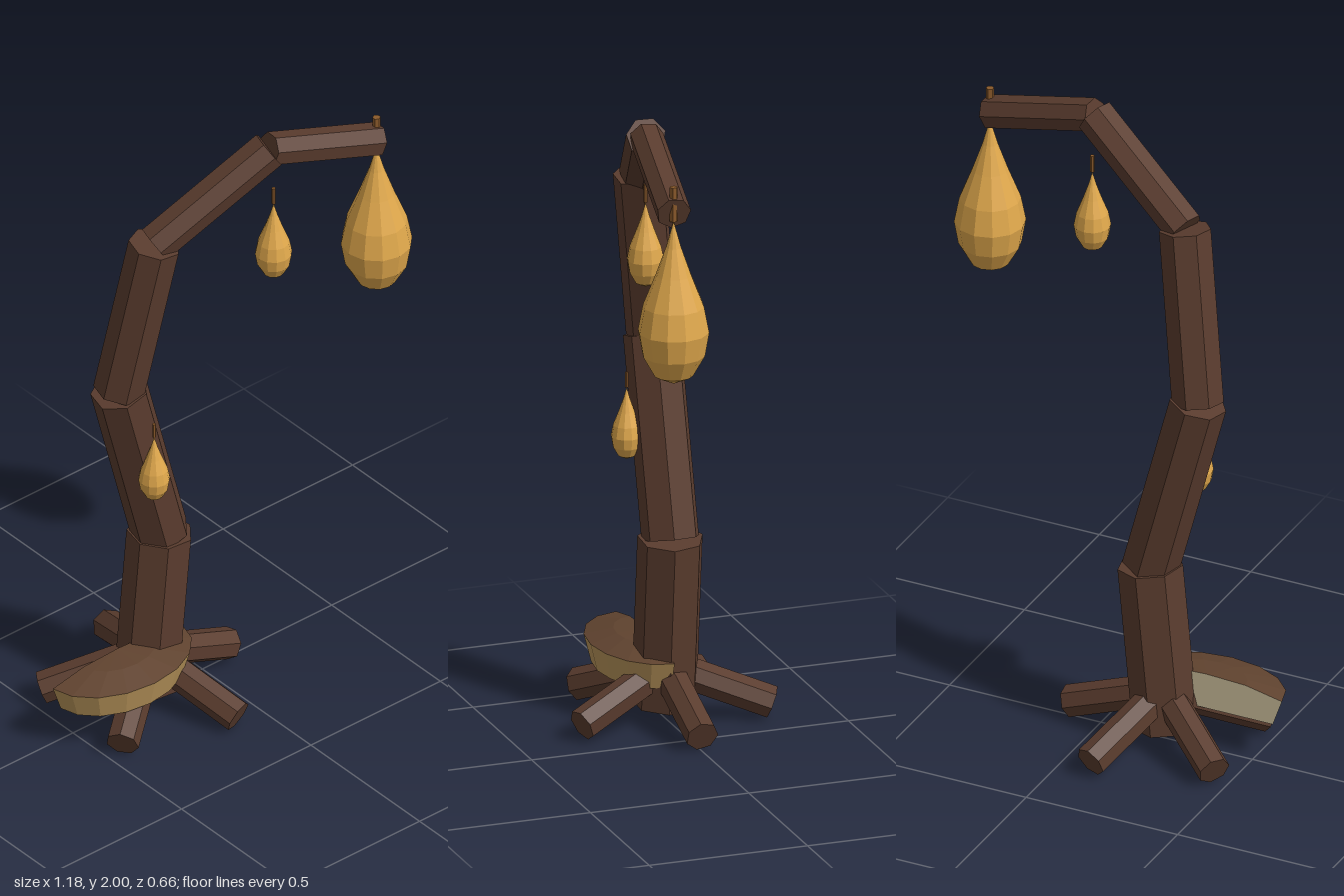
import * as THREE from 'three';

const mat = (name, color, side = THREE.FrontSide) => {
  const m = new THREE.MeshStandardMaterial({ color, flatShading: true, side });
  m.name = name;
  return m;
};

export function createModel() {
  const bark = mat('bark', 0x5a3c2e);
  const sap = mat('amber sap', 0xe0a84c);
  const twig = mat('twig', 0x8b5a2b);
  const cap = mat('fungus cap', 0x60432f, THREE.DoubleSide);
  const rim = mat('fungus rim', 0xb8945a, THREE.DoubleSide);
  const gills = mat('fungus gills', 0xd2c4a0, THREE.DoubleSide);

  const model = new THREE.Group();
  model.name = 'hangingDropTree';
  const add = (parent, name, geometry, material) => {
    const mesh = new THREE.Mesh(geometry, material);
    mesh.name = name;
    parent.add(mesh);
    return mesh;
  };

  // Seven-sided log between two points
  const log = (parent, name, a, b, radius) => {
    const dir = b.clone().sub(a);
    const geo = new THREE.CylinderGeometry(radius, radius, dir.length(), 7, 1, false, Math.PI);
    const mesh = add(parent, name, geo, bark);
    mesh.position.copy(a).add(b).multiplyScalar(0.5);
    mesh.quaternion.setFromUnitVectors(new THREE.Vector3(0, 1, 0), dir.normalize());
  };

  // Crooked trunk bending over into a branch
  const joints = [
    [-0.213, 0.055, 0], [-0.163, 0.585, 0], [-0.32, 1.177, 0],
    [-0.243, 1.712, 0.07], [0.107, 1.955, 0.178], [0.482, 1.845, 0.23],
  ].map((p) => new THREE.Vector3(...p));
  const radii = [0.1, 0.088, 0.079, 0.06, 0.052];
  const trunk = new THREE.Group();
  trunk.name = 'trunk';
  radii.forEach((r, i) => log(trunk, i < 3 ? 'trunkSegment' : 'branchSegment', joints[i], joints[i + 1], r));
  model.add(trunk);

  // Five splayed roots
  const roots = new THREE.Group();
  roots.name = 'roots';
  for (let i = 0; i < 5; i++) {
    const a = (i * Math.PI * 2) / 5;
    log(roots, 'root', new THREE.Vector3(-0.21, 0.17, 0),
      new THREE.Vector3(-0.21 + 0.315 * Math.cos(a), 0.05, 0.315 * Math.sin(a)), 0.05);
  }
  model.add(roots);

  // Hanging drops with short stems; the profile is in units of the drop's height
  const profile = [[0, 0], [0.115, 0.055], [0.185, 0.18], [0.21, 0.325], [0.18, 0.48],
    [0.105, 0.67], [0.045, 0.84], [0, 1]];
  const drop = (x, y, z, height) => {
    const group = new THREE.Group();
    group.name = 'hangingDrop';
    const points = profile.map(([r, h]) => new THREE.Vector2(r * height, h * height));
    add(group, 'drop', new THREE.LatheGeometry(points, 12), sap);
    const stem = add(group, 'stem',
      new THREE.CylinderGeometry(0.024 * height, 0.024 * height, 0.21 * height, 6), twig);
    stem.position.y = 1.105 * height;
    group.position.set(x, y, z);
    model.add(group);
  };
  drop(0.48, 1.31, 0.23, 0.51);
  drop(0.12, 1.49, 0.185, 0.265);
  drop(-0.27, 0.81, 0.1, 0.225);

  // Half-round shelf fungus at the foot
  const fungus = new THREE.Group();
  fungus.name = 'shelfFungus';
  const half = (name, pts, material) => add(fungus, name, new THREE.LatheGeometry(
    pts.map((p) => new THREE.Vector2(...p)), 8, -Math.PI / 2, Math.PI), material);
  const top = [[0.25, 0.085], [0.13, 0.11], [0, 0.116]];
  half('fungusGills', [[0, 0], [0.22, 0]], gills);
  half('fungusRim', [[0.22, 0], [0.25, 0.085]], rim);
  half('fungusCap', top, cap);
  const outline = [[-0.22, 0], [0.22, 0], ...top, [-0.13, 0.11], [-0.25, 0.085]];
  add(fungus, 'fungusBack',
    new THREE.ShapeGeometry(new THREE.Shape(outline.map((p) => new THREE.Vector2(...p)))), gills);
  fungus.scale.z = 0.69;
  fungus.position.set(-0.34, 0.13, 0.015);
  model.add(fungus);

  return model;
}
